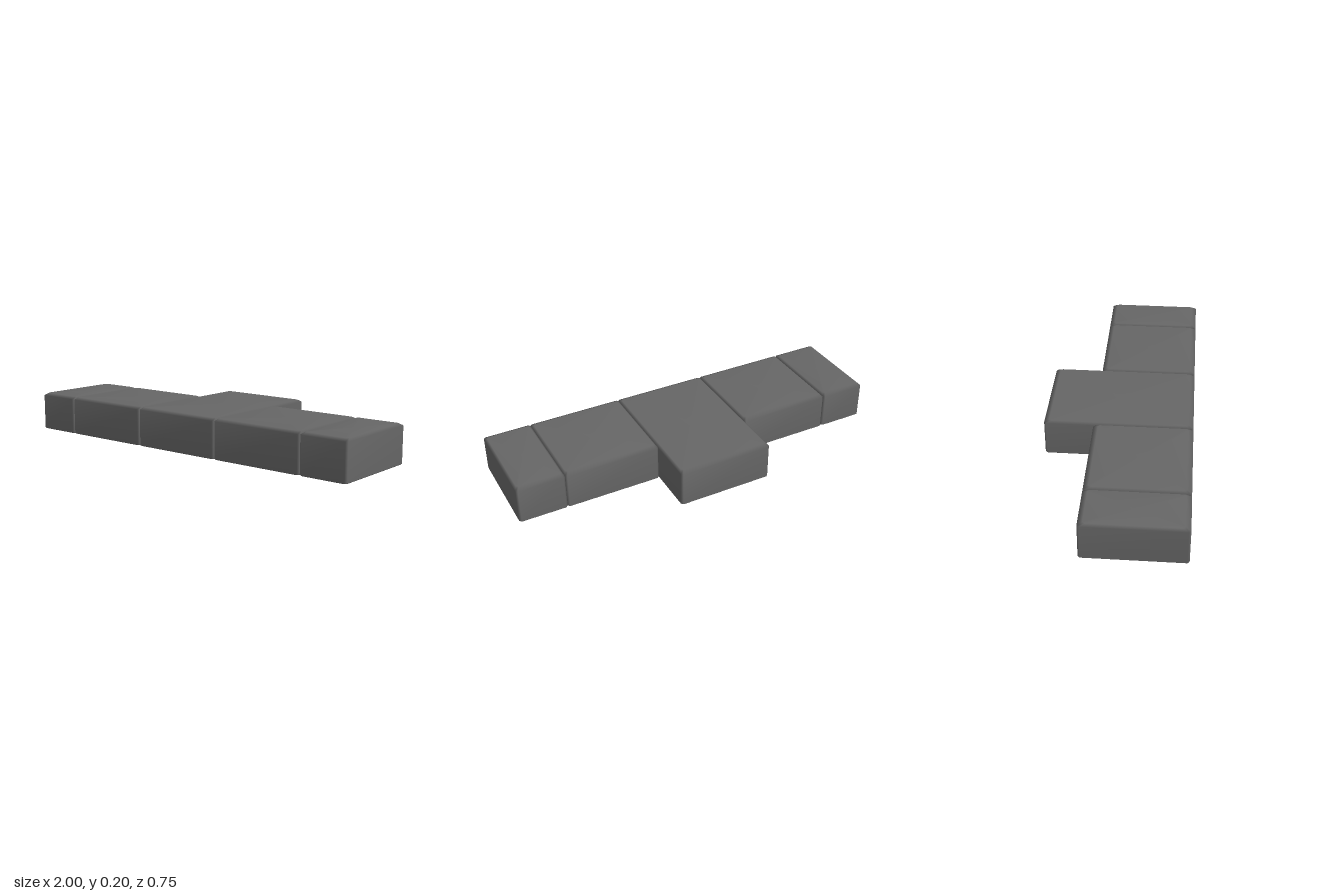
import * as THREE from 'three';

const HEIGHT = 0.2;

// Block with chamfered edges, lofted from eight-sided rings:
// each level is [height, inset in x, inset in z].
function bevelledBlock(width, depth) {
  const levels = [[0, 0.005, 0.005], [0.005, 0, 0], [0.188, 0, 0], [HEIGHT, 0.012, 0.025]];
  const cut = 0.01;
  const points = [], faces = [];
  for (const [y, insetX, insetZ] of levels) {
    const x = width / 2 - insetX, z = depth / 2 - insetZ;
    for (const [px, pz] of [
      [x, -z + cut], [x, z - cut], [x - cut, z], [-x + cut, z],
      [-x, z - cut], [-x, -z + cut], [-x + cut, -z], [x - cut, -z],
    ]) points.push(px, y, pz);
  }
  points.push(0, 0, 0, 0, HEIGHT, 0); // cap centres
  const bottom = levels.length * 8, top = bottom + 1, last = bottom - 8;
  for (let i = 0; i < 8; i++) {
    const j = (i + 1) % 8;
    for (let r = 0; r < last; r += 8) {
      faces.push(r + i, r + 8 + i, r + j, r + j, r + 8 + i, r + 8 + j);
    }
    faces.push(bottom, i, j, top, last + j, last + i);
  }
  const geometry = new THREE.BufferGeometry();
  geometry.setAttribute('position', new THREE.Float32BufferAttribute(points, 3));
  geometry.setIndex(faces);
  geometry.computeVertexNormals();
  return geometry;
}

export function createModel() {
  const model = new THREE.Group();
  model.name = 'steppedSlab';
  const grey = new THREE.MeshStandardMaterial({ color: 0x666666 });
  grey.name = 'dark grey';

  function addBlock(name, width, depth, x, z) {
    const block = new THREE.Mesh(bevelledBlock(width, depth), grey);
    block.name = name;
    block.position.set(x, 0, z);
    model.add(block);
  }

  // Deep middle block, then a wing and an end block on each side
  addBlock('centreBlock', 0.5, 0.75, 0, 0);
  for (const [side, s] of [['left', 1], ['right', -1]]) {
    addBlock(side + 'Wing', 0.5, 0.5, s * 0.5, 0.125);
    addBlock(side + 'End', 0.25, 0.5, s * 0.875, 0.125);
  }
  return model;
}
